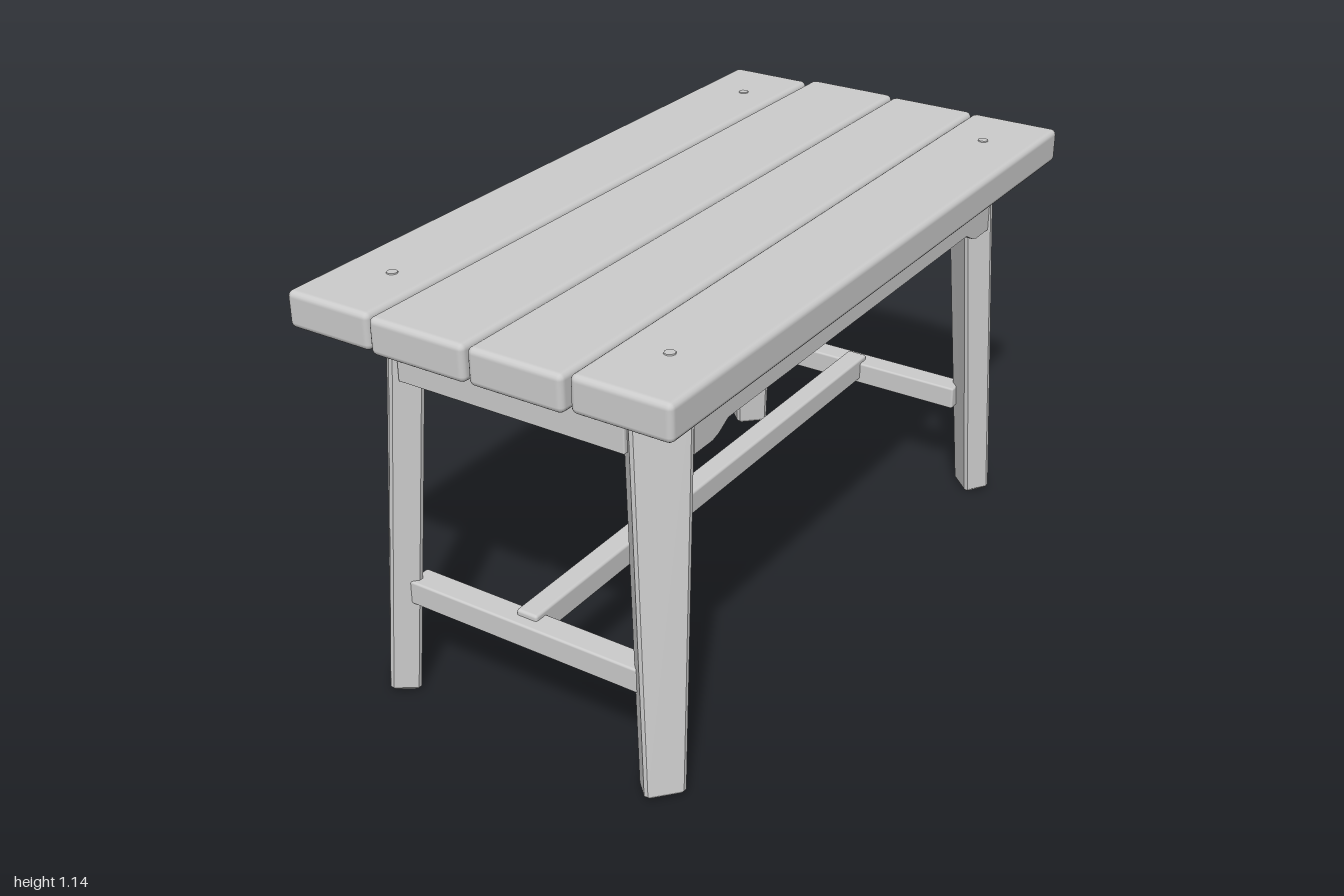
import * as THREE from 'three';
import { RoundedBoxGeometry } from 'three/addons/geometries/RoundedBoxGeometry.js';

const grey = new THREE.MeshStandardMaterial({ color: 0xcccccc });
grey.name = 'plain grey';

function add(group, name, geometry, x = 0, y = 0, z = 0) {
  const mesh = new THREE.Mesh(geometry, grey);
  mesh.name = name;
  mesh.position.set(x, y, z);
  group.add(mesh);
  return mesh;
}

// Softly rounded board given by its limits on each axis
function board(group, name, [x0, x1], [y0, y1], [z0, z1], radius) {
  const geometry = new RoundedBoxGeometry(x1 - x0, y1 - y0, z1 - z0, 2, radius);
  return add(group, name, geometry, (x0 + x1) / 2, (y0 + y1) / 2, (z0 + z1) / 2);
}

// Cut each corner of a ring of four [x, y, z] points, giving eight points
function chamfer(ring, cut) {
  const v = ring.map((p) => new THREE.Vector3(...p));
  return v.flatMap((p, i) => [v[(i + 3) % 4], v[(i + 1) % 4]].map((q) =>
    p.clone().addScaledVector(q.clone().sub(p).normalize(), cut)));
}

// Tapered, splayed leg set diagonally under a corner, mirrored by sx and sz
function legGeometry(sx, sz) {
  const top = [[0.44, 1.07, 0.755], [0.335, 1.07, 0.863], [0.275, 1.07, 0.803], [0.38, 1.07, 0.698]];
  const foot = [[0.465, 0.02, 0.84], [0.395, 0.02, 0.917], [0.34, 0.008, 0.86], [0.41, 0.008, 0.793]];
  const centre = new THREE.Vector3(0.4025, 0.006, 0.8525);
  const upper = chamfer(top, 0.008);
  const lower = chamfer(foot, 0.008);
  const sole = lower.map((p) => {
    const q = p.clone().lerp(centre, 0.12);
    q.y = p.y - 0.008;
    return q;
  });
  const rings = [sole, lower, upper];
  const triangles = [];
  for (let r = 0; r < 2; r++) {
    for (let i = 0; i < 8; i++) {
      const j = (i + 1) % 8;
      const [a, b, c, d] = [rings[r][j], rings[r][i], rings[r + 1][i], rings[r + 1][j]];
      triangles.push([a, b, c], [a, c, d]);
    }
  }
  for (let i = 1; i < 7; i++) {
    triangles.push([sole[0], sole[i], sole[i + 1]], [upper[0], upper[i + 1], upper[i]]);
  }
  const points = triangles
    .flatMap((t) => (sx * sz > 0 ? t : [t[0], t[2], t[1]]))
    .map((p) => new THREE.Vector3(p.x * sx, p.y, p.z * sz));
  const geometry = new THREE.BufferGeometry().setFromPoints(points);
  geometry.computeVertexNormals();
  return geometry;
}

// Long rail with deeper, sloped ends
function sideRailGeometry() {
  const half = [[0.755, 1.045], [0.755, 0.888], [0.68, 0.888], [0.655, 0.895], [0.615, 0.917]];
  const outline = [...half, ...half.slice().reverse().map(([z, y]) => [-z, y])];
  const shape = new THREE.Shape(outline.map(([z, y]) => new THREE.Vector2(z, y)));
  const geometry = new THREE.ExtrudeGeometry(shape, { depth: 0.095, bevelEnabled: false });
  geometry.translate(0, 0, -0.0475);
  geometry.rotateY(-Math.PI / 2);
  return geometry;
}

export function createModel() {
  const table = new THREE.Group();
  table.name = 'plankTable';

  // Four slightly uneven top planks: x limits, z limits
  const planks = [
    [[-0.53, -0.284], [-0.975, 0.987]],
    [[-0.276, -0.005], [-1, 0.995]],
    [[0.003, 0.259], [-0.99, 0.993]],
    [[0.265, 0.525], [-0.983, 0.977]],
  ];
  planks.forEach(([x, z], i) => board(table, `topPlank${i + 1}`, x, [1.04, 1.135], z, 0.016));

  // Legs and the small pegs showing above them
  for (const sx of [-1, 1]) {
    for (const sz of [-1, 1]) {
      add(table, 'leg', legGeometry(sx, sz));
      add(table, 'peg', new THREE.CylinderGeometry(0.014, 0.016, 0.01, 8), sx * 0.39, 1.133, sz * 0.78);
    }
  }

  // Rails under the top
  for (const s of [-1, 1]) {
    add(table, 'sideRail', sideRailGeometry(), s * 0.387);
    board(table, 'endRail', [-0.325, 0.322], [0.902, 1.045], [s * 0.81 - 0.051, s * 0.81 + 0.051], 0.004);
  }

  // Low stretchers forming an H between the legs
  for (const s of [-1, 1]) {
    board(table, 'endStretcher', [-0.347, 0.345], [0.27, 0.337], [s * 0.83 - 0.035, s * 0.83 + 0.035], 0.006);
  }
  board(table, 'longStretcher', [-0.032, 0.03], [0.283, 0.352], [-0.835, 0.835], 0.008);

  return table;
}
